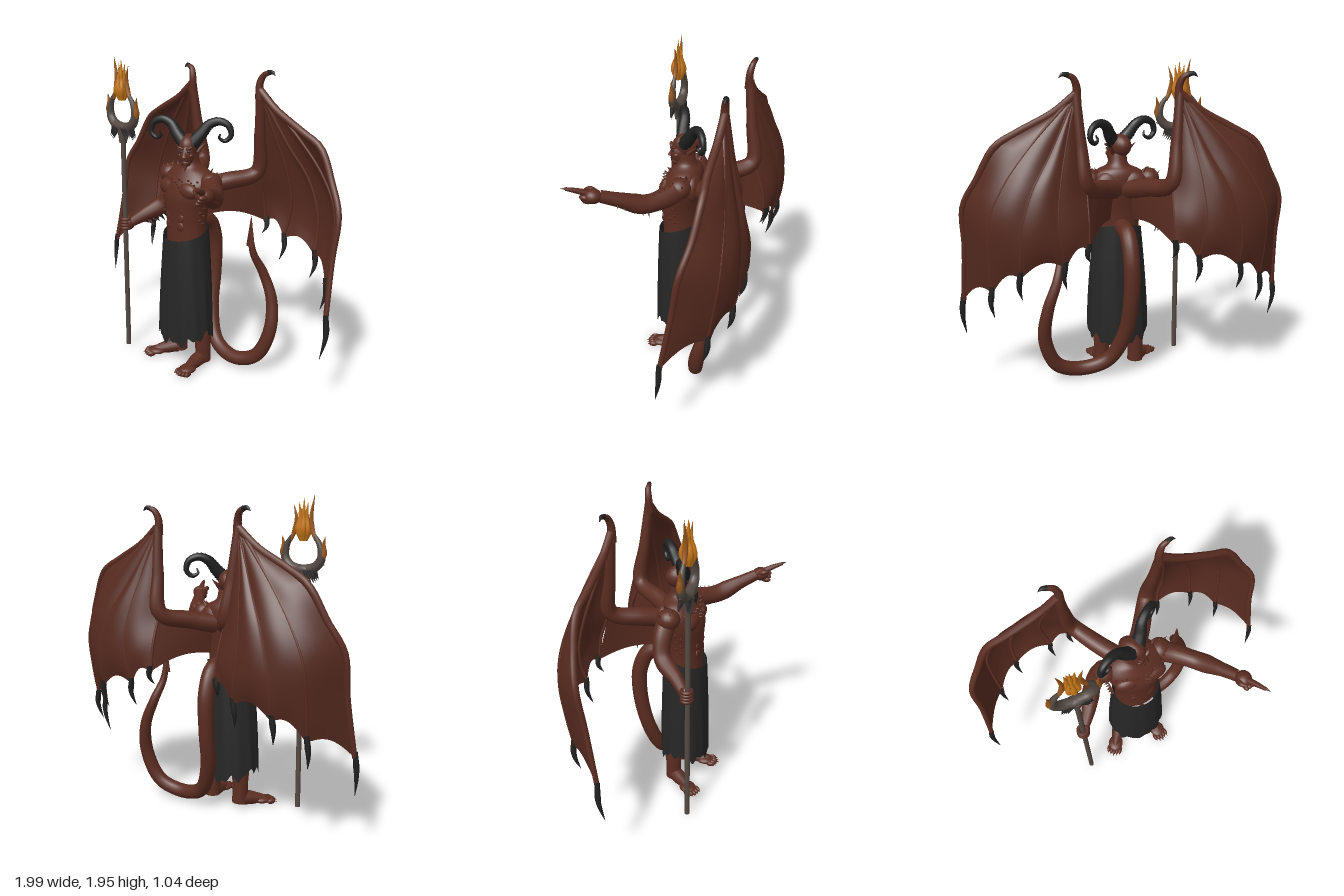
import * as THREE from 'three';

const mat = (name, color, side = THREE.FrontSide) =>
  Object.assign(new THREE.MeshStandardMaterial({ color, side }), { name });
const V = (x, y, z) => new THREE.Vector3(x, y, z);

export function createModel() {
  const root = new THREE.Group();
  const skin = mat('skin', 0x5b2d21);
  const membrane = mat('wing membrane', 0x552a1f, THREE.DoubleSide);
  const cloth = mat('cloth', 0x262627, THREE.DoubleSide);
  const horn = mat('horn', 0x212122);
  const metal = mat('staff metal', 0x544942);
  const darkMetal = mat('dark metal', 0x2d2b2a);
  const flame = mat('flame', 0xc87818);
  const amber = mat('amber', 0x9a581c);

  const add = (name, geo, m, parent = root, pos) => {
    const mesh = new THREE.Mesh(geo, m);
    mesh.name = name;
    if (pos) mesh.position.set(...pos);
    parent.add(mesh);
    return mesh;
  };
  const ball = (name, pos, scale, m = skin, parent = root) => {
    const b = add(name, new THREE.SphereGeometry(1, 20, 14), m, parent, pos);
    b.scale.set(...scale);
    return b;
  };
  // Tube along a smooth path whose radius follows a list; ripple adds rings
  const sweep = (name, pts, radii, m, parent = root, seg = 32, sides = 12, ripple = 0) => {
    const curve = new THREE.CatmullRomCurve3(pts.map((p) => V(...p)), false, 'centripetal');
    const geo = new THREE.TubeGeometry(curve, seg, 1, sides);
    const pos = geo.attributes.position, v = V();
    for (let i = 0; i <= seg; i++) {
      const c = curve.getPointAt(i / seg), f = (i / seg) * (radii.length - 1);
      const k = Math.min(Math.floor(f), radii.length - 2);
      const r = THREE.MathUtils.lerp(radii[k], radii[k + 1], f - k) * (1 + ripple * (i % 3 - 1));
      for (let j = 0; j <= sides; j++) {
        const n = i * (sides + 1) + j;
        v.fromBufferAttribute(pos, n).sub(c).multiplyScalar(r).add(c);
        pos.setXYZ(n, v.x, v.y, v.z);
      }
    }
    return add(name, geo, m, parent);
  };
  const spike = (name, at, dir, len, r, m, parent = root) => {
    const d = V(...dir).normalize();
    const c = add(name, new THREE.ConeGeometry(r, len, 8), m, parent);
    c.position.set(...at).addScaledVector(d, len / 2);
    c.quaternion.setFromUnitVectors(V(0, 1, 0), d);
    return c;
  };
  // Surface from a rule f(u, v); closed joins the ends of u
  const grid = (f, nu, nv, closed) => {
    const cols = closed ? nu : nu + 1, p = [], idx = [];
    for (let j = 0; j <= nv; j++) for (let i = 0; i < cols; i++) p.push(...f(i / nu, j / nv));
    for (let j = 0; j < nv; j++) for (let i = 0; i < nu; i++) {
      const a = j * cols + i, b = j * cols + (i + 1) % cols;
      idx.push(a, b, b + cols, a, b + cols, a + cols);
    }
    const g = new THREE.BufferGeometry();
    g.setAttribute('position', new THREE.Float32BufferAttribute(p, 3));
    g.setIndex(idx);
    g.computeVertexNormals();
    return g;
  };

  // Torso: rows of y, half width, z centre, half depth
  const rows = [[0.8, 0.14, 0.02, 0.11], [0.95, 0.138, 0.02, 0.11], [1.05, 0.15, 0.02, 0.115],
    [1.15, 0.175, 0.015, 0.125], [1.23, 0.185, 0, 0.115], [1.29, 0.14, -0.015, 0.09],
    [1.33, 0.065, -0.01, 0.065], [1.4, 0.055, 0, 0.055]];
  const yz = new THREE.CatmullRomCurve3(rows.map((r) => V(r[1], r[0], r[2])));
  const dz = new THREE.CatmullRomCurve3(rows.map((r) => V(r[3], r[0], 0)));
  add('torso', grid((u, v) => {
    const a = u * Math.PI * 2, p = yz.getPoint(v), d = dz.getPoint(v).x;
    return [0.01 + p.x * Math.sin(a), p.y, p.z + d * Math.cos(a)];
  }, 32, 28, true), skin);
  for (const s of [-1, 1]) {
    ball('chestMuscle', [0.01 + s * 0.075, 1.185, 0.083], [0.09, 0.055, 0.048]);
    ball('shoulder', [s * 0.18, 1.235, -0.02], [0.068, 0.064, 0.07]);
    ball('backMuscle', [s * 0.08, 1.2, -0.08], [0.085, 0.09, 0.045]);
    for (let i = 0; i < 3; i++) ball('abdominal', [0.01 + s * 0.036, 0.96 + i * 0.055, 0.118], [0.042, 0.033, 0.012]);
    for (let i = 0; i < 7; i++) {
      spike('collarBump', [0.01 + s * (0.03 + 0.02 * i), 1.25 - 0.012 * (i % 3), 0.105 - 0.006 * i], [s * 0.2, 0.6, 1], 0.022, 0.008, skin);
      spike('breastBump', [0.01 + s * (0.016 + 0.012 * (i % 3)), 1.235 - 0.014 * i, 0.122], [s * 0.2, 0.4, 1], 0.018, 0.006, skin);
      spike('flankSpike', [s * (0.15 + 0.004 * i), 0.98 + 0.025 * i, 0.02 + 0.03 * (i % 2)], [s, 0.3, 0.2], 0.03, 0.009, skin);
      spike('shoulderSpike', [s * (0.14 + 0.013 * i), 1.28 - 0.005 * i, -0.05 + 0.03 * (i % 3)], [s * 0.6, 1, -0.2], 0.045, 0.011, skin);
    }
  }

  // Wrapped skirt with folds and a ragged hem
  add('skirt', grid((u, v) => {
    const a = u * Math.PI * 2, c = Math.cos(a), s = Math.sin(a);
    const rag = 0.018 * Math.sin(a * 9) + 0.014 * Math.sin(a * 17 + 1);
    const low = 0.26 - 0.07 * Math.abs(c) + rag, high = 0.915 - 0.045 * c;
    const t = Math.pow(v, 0.8), fold = 1 + 0.02 * (1 - v) * Math.sin(a * 13 + 2 * v);
    return [0.008 + s * fold * (0.195 - 0.045 * t * t), low + (high - low) * v, 0.025 + c * fold * (0.155 - 0.02 * t * t)];
  }, 96, 20, true), cloth);

  // Legs and bare feet
  for (const [s, x, yaw] of [[-1, -0.11, -0.6], [1, 0.12, 0.12]]) {
    const leg = new THREE.Group();
    leg.name = s < 0 ? 'rightLeg' : 'leftLeg';
    leg.position.set(x, 0, -0.01);
    leg.rotation.y = yaw;
    root.add(leg);
    sweep('calf', [[0, 0.4, 0], [0, 0.27, -0.012], [0, 0.14, -0.012], [0, 0.03, -0.015]], [0.056, 0.062, 0.05, 0.05], skin, leg);
    sweep('foot', [[0, 0.045, -0.06], [0, 0.055, 0], [0, 0.04, 0.1], [0, 0.025, 0.19]], [0.02, 0.048, 0.044, 0.03, 0.01], skin, leg);
    ball('sole', [0, 0.026, 0.14], [0.052, 0.024, 0.06], skin, leg);
    for (let i = 0; i < 5; i++) {
      const tx = (i - 2) * 0.021, tz = 0.2 - 0.007 * Math.abs(i - 2);
      ball('toe', [tx, 0.018, tz], [0.013, 0.017, 0.028], skin, leg);
      spike('toeNail', [tx, 0.018, tz + 0.015], [0, -0.2, 1], 0.026, 0.007, skin, leg);
    }
  }

  // Pointing left arm
  sweep('leftArm', [[0.15, 1.235, -0.03], [0.26, 1.205, 0.04], [0.36, 1.2, 0.13], [0.45, 1.255, 0.25], [0.51, 1.295, 0.34]],
    [0.065, 0.063, 0.055, 0.057, 0.042, 0.035], skin);
  ball('leftHand', [0.53, 1.3, 0.37], [0.05, 0.043, 0.052]);
  sweep('leftPointer', [[0.54, 1.32, 0.39], [0.575, 1.345, 0.45], [0.6, 1.36, 0.495]], [0.02, 0.016, 0.01], skin);
  spike('leftPointerNail', [0.597, 1.358, 0.485], [0.4, 0.25, 0.8], 0.042, 0.01, skin);
  for (let i = 0; i < 3; i++) ball('curledFinger', [0.56 - i * 0.014, 1.3 - i * 0.018, 0.405], [0.018, 0.017, 0.032]);
  sweep('leftThumb', [[0.5, 1.31, 0.36], [0.495, 1.325, 0.4], [0.52, 1.325, 0.425]], [0.018, 0.016, 0.008], skin);

  // Right arm holding the staff
  sweep('rightArm', [[-0.15, 1.235, -0.03], [-0.215, 1.14, -0.045], [-0.265, 1.02, -0.03], [-0.34, 0.94, 0.08], [-0.4, 0.885, 0.15]],
    [0.062, 0.06, 0.052, 0.056, 0.042, 0.03], skin);
  ball('rightHand', [-0.4, 0.885, 0.155], [0.034, 0.045, 0.036]);
  for (let i = 0; i < 4; i++) {
    const f = add('grippingFinger', new THREE.TorusGeometry(0.029, 0.012, 8, 18), skin, root, [-0.415, 0.856 + i * 0.02, 0.17]);
    f.rotation.x = Math.PI / 2;
  }
  // Spines along both arms
  for (let i = 0; i < 6; i++) {
    const t = i / 5;
    spike('rightForearmSpine', [-0.25 - 0.1 * t, 1.0 - 0.08 * t, -0.03 + 0.1 * t], [0.35, -0.8, -0.5], 0.12 - 0.07 * t, 0.02, horn);
    spike('leftForearmSpine', [0.33 + 0.13 * t, 1.19 + 0.07 * t, 0.13 + 0.13 * t], [0.6, -0.6, -0.4], 0.09 - 0.03 * t, 0.016, skin);
    spike('leftUpperSpine', [0.2 + 0.03 * i, 1.24 - 0.007 * i, 0.01 + 0.02 * i], [0.3, 1, -0.3], 0.055, 0.013, skin);
  }

  // Head turned towards the pointing arm
  const head = new THREE.Group();
  head.name = 'head';
  head.position.set(0.005, 1.41, 0);
  head.rotation.y = 0.54;
  root.add(head);
  ball('skull', [0, 0.03, -0.012], [0.062, 0.07, 0.085], skin, head);
  ball('face', [0, -0.018, 0.034], [0.048, 0.07, 0.055], skin, head);
  ball('jaw', [0, -0.065, 0.048], [0.032, 0.026, 0.036], skin, head);
  spike('chinPoint', [0, -0.075, 0.065], [0, -1, 0.4], 0.045, 0.018, skin, head);
  spike('nose', [0, -0.03, 0.088], [0, 1, -0.25], 0.06, 0.017, skin, head);
  ball('mouth', [0, -0.052, 0.08], [0.02, 0.004, 0.006], horn, head);
  for (const s of [-1, 1]) {
    const brow = ball('brow', [s * 0.025, 0.026, 0.072], [0.025, 0.009, 0.014], skin, head);
    brow.rotation.z = s * 0.4;
    ball('eye', [s * 0.023, 0.007, 0.079], [0.011, 0.006, 0.006], horn, head);
    ball('cheek', [s * 0.032, -0.02, 0.058], [0.016, 0.014, 0.018], skin, head);
    spike('ear', [s * 0.05, -0.01, -0.01], [s * 0.6, 0.7, -0.5], 0.085, 0.018, skin, head);
    sweep('horn', [[0.022, 0.04, 0.01], [0.075, 0.1, -0.01], [0.12, 0.157, -0.03], [0.18, 0.178, -0.04], [0.238, 0.152, -0.045],
      [0.252, 0.095, -0.045], [0.217, 0.062, -0.04], [0.183, 0.08, -0.03], [0.193, 0.107, -0.022]].map(([x, y, z]) => [s * x, y, z]),
      [0.042, 0.038, 0.032, 0.026, 0.021, 0.017, 0.013, 0.004], horn, head, 72, 12, 0.05);
  }

  // Wings: fingers fan out from the wrist, with membrane stretched between
  const W = [0.295, 1.77, -0.31];
  const fingers = [
    [W, [0.42, 1.67, -0.31], [0.62, 1.565, -0.31], [0.745, 1.49, -0.32], [0.85, 1.31, -0.3], [0.935, 1.15, -0.26], [0.94, 0.9, -0.22], [0.965, 0.56, -0.16]],
    [W, [0.55, 1.5, -0.39], [0.7, 1.3, -0.43], [0.79, 1.1, -0.44], [0.8, 0.85, -0.41], [0.79, 0.67, -0.38]],
    [W, [0.45, 1.45, -0.41], [0.56, 1.25, -0.48], [0.62, 1.05, -0.505], [0.63, 0.9, -0.5], [0.63, 0.78, -0.475]],
    [W, [0.36, 1.5, -0.39], [0.4, 1.3, -0.455], [0.42, 1.1, -0.5], [0.4, 0.95, -0.505], [0.38, 0.83, -0.48]],
    [W, [0.28, 1.6, -0.32], [0.26, 1.4, -0.35], [0.25, 1.25, -0.38], [0.245, 1.08, -0.44], [0.245, 0.92, -0.46]]];
  const clawLength = [0.23, 0.16, 0.14, 0.14, 0.08];
  for (const s of [-1, 1]) {
    const wing = new THREE.Group();
    wing.name = s < 0 ? 'rightWing' : 'leftWing';
    root.add(wing);
    const flip = (pts) => pts.map(([x, y, z]) => [s * x, y, z]);
    const curves = fingers.map((f) => new THREE.CatmullRomCurve3(flip(f).map((p) => V(...p)), false, 'centripetal'));
    add('membrane', grid((u, v) => {
      const k = Math.min(Math.floor(u * 4), 3), w = u * 4 - k, sag = Math.sin(w * Math.PI);
      const p = curves[k].getPointAt(v).lerp(curves[k + 1].getPointAt(v), w);
      return [p.x, p.y + sag * 0.06 * v ** 5, p.z - sag * 0.018 * Math.sin(v * 2.6)];
    }, 48, 24), membrane, wing);
    fingers.forEach((f, i) => {
      const inner = f.map(([x, y, z]) => [x, y, z + (i ? 0.008 : 0)]);
      sweep('wingFinger', flip(inner), i ? [0.014, 0.009, 0.009, 0.01] : [0.024, 0.022, 0.018, 0.015], skin, wing, 36, 8);
      const [x, y, z] = f[f.length - 1], l = clawLength[i];
      sweep('wingClaw', flip([[x, y + 0.04, z], [x + 0.012, y - l * 0.4, z + 0.005], [x - 0.005, y - l, z + 0.03]]), [0.014, 0.018, 0.011, 0.001], horn, wing, 14, 8);
    });
    sweep('wingArm', flip([[0.04, 1.18, -0.07], [0.14, 1.21, -0.2], [0.245, 1.26, -0.36], [0.275, 1.5, -0.34], W]),
      [0.06, 0.055, 0.045, 0.032, 0.026], skin, wing);
    sweep('wingHook', flip([[0.293, 1.72, -0.31], [0.29, 1.81, -0.31], [0.312, 1.86, -0.32], [0.345, 1.875, -0.325]]), [0.03, 0.024, 0.02, 0.014], skin, wing);
    sweep('wingHookClaw', flip([[0.335, 1.873, -0.325], [0.365, 1.878, -0.33], [0.39, 1.86, -0.33]]), [0.016, 0.012, 0.001], horn, wing, 10, 8);
    add('innerMembrane', grid((u, v) => {
      const top = [0.05 + 0.2 * u, 1.19 + 0.06 * u, -0.1 - 0.27 * u];
      const low = [0.07 + 0.175 * u, 1.0 - 0.08 * u + 0.04 * Math.sin(u * Math.PI), -0.1 - 0.36 * u];
      return top.map((t, i) => (t + (low[i] - t) * v) * (i ? 1 : s));
    }, 12, 6), membrane, wing);
  }

  // Tail looping down to the ground and up again
  sweep('tail', [[0, 0.95, -0.06], [-0.02, 0.92, -0.2], [-0.03, 0.78, -0.27], [-0.03, 0.55, -0.27], [0, 0.3, -0.22], [0.1, 0.11, -0.17],
    [0.27, 0.058, -0.16], [0.42, 0.115, -0.2], [0.495, 0.3, -0.24], [0.475, 0.5, -0.27], [0.415, 0.67, -0.25], [0.385, 0.8, -0.19], [0.375, 0.92, -0.17]],
    [0.052, 0.05, 0.048, 0.047, 0.046, 0.044, 0.04, 0.03, 0.016], skin, root, 90, 14);
  const tip = add('tailTip', new THREE.ConeGeometry(0.032, 0.2, 10), skin, root, [0.378, 0.95, -0.17]);
  tip.scale.z = 0.45;

  // Staff with a horned ring and fire
  const staff = new THREE.Group();
  staff.name = 'staff';
  staff.position.set(-0.415, 0, 0.175);
  root.add(staff);
  add('shaft', new THREE.CylinderGeometry(0.016, 0.016, 1.45, 14), metal, staff, [0, 0.735, 0]);
  add('collar', new THREE.CylinderGeometry(0.036, 0.024, 0.09, 12), metal, staff, [0, 1.465, 0]);
  ball('ringBase', [0, 1.52, 0], [0.08, 0.028, 0.034], metal, staff);
  for (const s of [-1, 1]) {
    sweep('ringArm', [[0, 1.52, 0], [s * 0.08, 1.535, 0], [s * 0.122, 1.585, 0], [s * 0.115, 1.655, 0], [s * 0.075, 1.72, 0], [s * 0.045, 1.76, 0]],
      [0.026, 0.03, 0.027, 0.02, 0.013, 0.002], metal, staff);
    spike('ringBarb', [s * 0.1, 1.55, 0], [s, 0.05, 0], 0.05, 0.022, metal, staff);
    for (let i = 0; i < 4; i++) for (const z of [-0.018, 0.018])
      spike('collarFang', [s * (0.025 + i * 0.015), 1.515, z], [s * 0.5, -1, z * 8], 0.09 - i * 0.01, 0.016, darkMetal, staff);
    sweep('sideFlame', [[s * 0.13, 1.57, 0], [s * 0.14, 1.62, 0], [s * 0.136, 1.66, 0], [s * 0.146, 1.715, 0]], [0.01, 0.02, 0.012, 0.001], amber, staff, 16, 8);
    sweep('outerFlame', [[s * 0.085, 1.69, 0], [s * 0.06, 1.75, 0], [s * 0.05, 1.82, 0], [s * 0.07, s < 0 ? 1.95 : 1.9, 0]], [0.01, 0.016, 0.01, 0.001], amber, staff, 18, 8);
  }
  ball('fireHeart', [0, 1.75, 0], [0.042, 0.058, 0.042], flame, staff);
  for (let i = 0; i < 7; i++) {
    const a = i * 0.9, x = Math.sin(a), z = Math.cos(a), h = 1.85 + 0.03 * (i % 3);
    sweep('tongueOfFire', [[x * 0.012, 1.69, z * 0.012], [x * 0.034, 1.755, z * 0.033], [x * 0.022, 1.82, z * 0.02], [x * 0.03, h, z * 0.018]],
      [0.012, 0.019, 0.012, 0.001], flame, staff, 16, 8);
  }
  spike('fireTip', [0, 1.77, 0], [0, 1, 0], 0.17, 0.022, flame, staff);
  return root;
}
